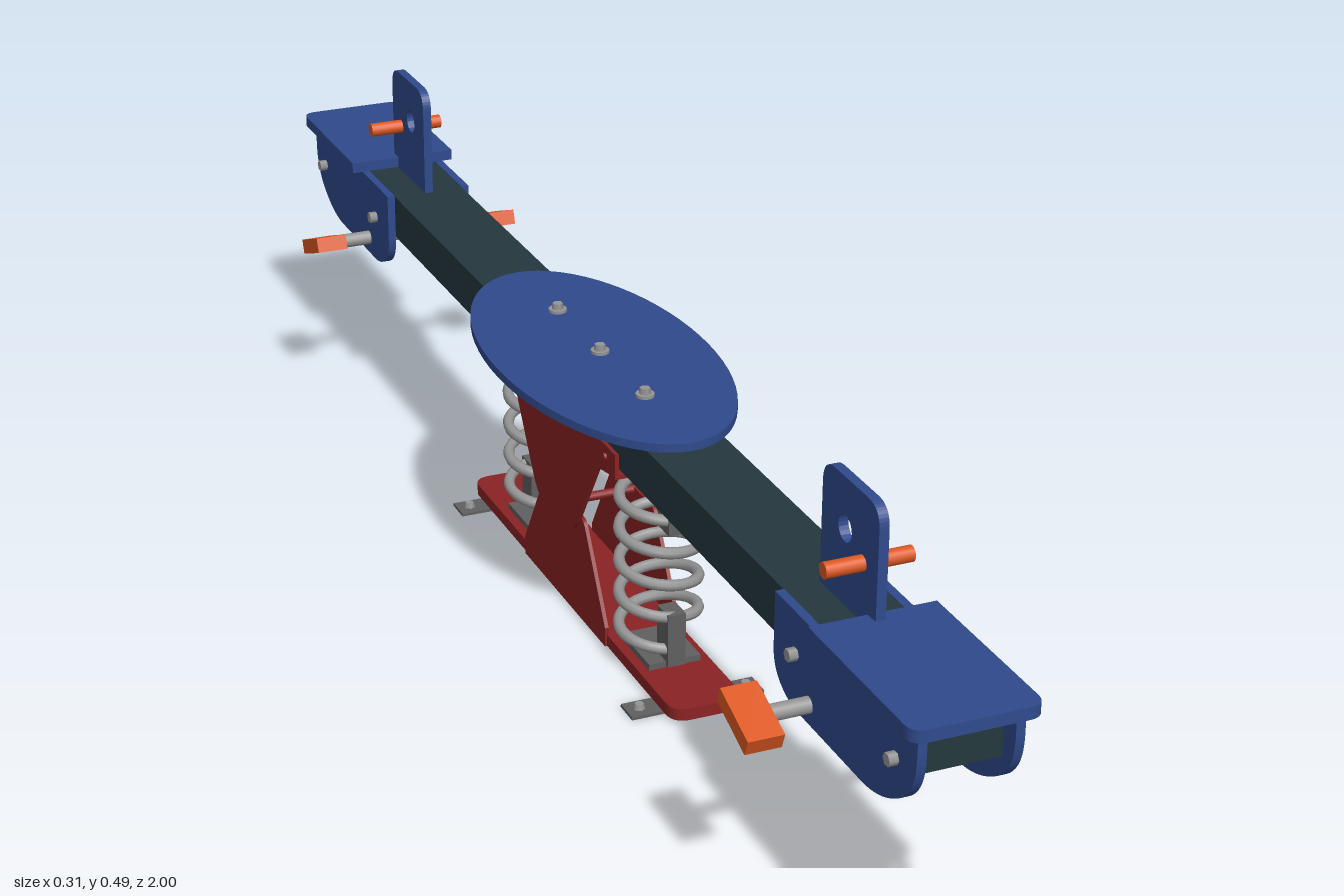
import * as THREE from 'three';

const mat = (name, color, side = THREE.FrontSide) => {
  const m = new THREE.MeshStandardMaterial({ color, side });
  m.name = name;
  return m;
};

// Closed outline with rounded corners; each point is [u, v, radius]
function outline(pts) {
  const s = new THREE.Shape();
  const n = pts.length;
  pts.forEach((p, i) => {
    const P = new THREE.Vector2(p[0], p[1]);
    const toward = (q) => {
      const d = new THREE.Vector2(q[0], q[1]).sub(P);
      return P.clone().addScaledVector(d.normalize(), p[2] || 0);
    };
    const a = toward(pts[(i + n - 1) % n]);
    const b = toward(pts[(i + 1) % n]);
    if (i === 0) s.moveTo(a.x, a.y);
    else s.lineTo(a.x, a.y);
    if (p[2]) s.quadraticCurveTo(P.x, P.y, b.x, b.y);
  });
  s.closePath();
  return s;
}

const slab = (shape, depth) =>
  new THREE.ExtrudeGeometry(shape, { depth, bevelEnabled: false, curveSegments: 10 })
    .translate(0, 0, -depth / 2);
// Upright slab: outline in z and y, thickness along x
const uprightSlab = (shape, depth) => slab(shape, depth).rotateY(-Math.PI / 2);
// Flat slab: outline in x and z, thickness along y
const flatSlab = (shape, depth) => slab(shape, depth).rotateX(Math.PI / 2);

export function createModel() {
  const blue = mat('blue panel', 0x2f4a8c);
  const dark = mat('dark green beam', 0x24383e);
  const red = mat('red steel', 0x8a2224);
  const orange = mat('orange grip', 0xdc5820);
  const steel = mat('light steel', 0x949494);
  const iron = mat('dark iron', 0x606060);

  const root = new THREE.Group();
  root.name = 'springSeesaw';

  const add = (parent, name, geo, material, x = 0, y = 0, z = 0) => {
    const m = new THREE.Mesh(geo, material);
    m.name = name;
    m.position.set(x, y, z);
    parent.add(m);
    return m;
  };
  const box = (w, h, d) => new THREE.BoxGeometry(w, h, d);
  const rodX = (r, len, n = 16) =>
    new THREE.CylinderGeometry(r, r, len, n).rotateZ(Math.PI / 2);

  // Main beam
  add(root, 'beam', box(0.102, 0.062, 1.92), dark, 0, 0.306, 0);

  // Oval centre board with its bolts
  const oval = new THREE.Shape();
  oval.absellipse(0, 0, 0.139, 0.29, 0, Math.PI * 2);
  add(root, 'centreBoard',
    new THREE.ExtrudeGeometry(oval, { depth: 0.011, bevelEnabled: false, curveSegments: 32 })
      .translate(0, 0, -0.0055).rotateX(Math.PI / 2), blue, 0, 0.3425, 0);
  for (const z of [-0.145, 0, 0.145]) {
    add(root, 'boardWasher', new THREE.CylinderGeometry(0.012, 0.012, 0.004, 16), steel, 0, 0.35, z);
    add(root, 'boardBolt', new THREE.CylinderGeometry(0.007, 0.008, 0.009, 6), steel, 0, 0.355, z);
  }

  // Base plate
  const baseShape = outline([
    [-0.048, -0.35, 0.025], [0.048, -0.35, 0.025], [0.048, 0.35, 0.025], [-0.048, 0.35, 0.025],
  ]);
  add(root, 'basePlate', flatSlab(baseShape, 0.016), red, 0, 0.012, 0);

  // Hourglass side plates: upper pair hangs from the beam, lower pair stands on the base
  const upper = outline([
    [-0.2, 0.303], [-0.2, 0.272], [-0.145, 0.262, 0.01], [-0.072, 0.148, 0.008], [-0.055, 0.132, 0.008],
    [0.055, 0.132, 0.008], [0.072, 0.148, 0.008], [0.145, 0.262, 0.01], [0.2, 0.272], [0.2, 0.303],
  ]);
  const lower = outline([
    [-0.14, 0.004], [0.14, 0.004], [0.14, 0.03], [0.068, 0.15, 0.01], [-0.068, 0.15, 0.01], [-0.14, 0.03],
  ]);
  for (const s of [-1, 1]) {
    add(root, 'upperSidePlate', uprightSlab(upper, 0.005), red, s * 0.0605, 0, 0);
    add(root, 'lowerSidePlate', uprightSlab(lower, 0.005), red, s * 0.0485, 0, 0);
    for (const z of [-0.17, 0.17])
      add(root, 'sidePlateRivet', rodX(0.005, 0.004, 8), red, s * 0.0645, 0.288, z);
  }
  add(root, 'beamSaddle', box(0.126, 0.006, 0.4), red, 0, 0.272, 0);
  add(root, 'pivotBar', rodX(0.006, 0.118, 12), red, 0, 0.146, 0);

  // Parts repeated at both ends
  class SpringCurve extends THREE.Curve {
    getPoint(t, out = new THREE.Vector3()) {
      const a = t * Math.PI * 2 * 5 + Math.PI / 2;
      return out.set(0.05 * Math.cos(a), 0.042 + 0.224 * t, 0.05 * Math.sin(a));
    }
  }
  const springGeo = new THREE.TubeGeometry(new SpringCurve(), 160, 0.0075, 8, false);

  const panel = outline([
    [0.65, 0.338], [0.65, 0.245, 0.025], [0.69, 0.219, 0.025], [0.905, 0.219, 0.04],
    [0.985, 0.265, 0.045], [0.985, 0.338],
  ]);
  const seat = outline([
    [-0.077, 0.762], [0.077, 0.762], [0.077, 1, 0.02], [-0.077, 1, 0.02],
  ]);
  const handlePlate = outline([
    [0.646, 0.337], [0.78, 0.337], [0.78, 0.488, 0.028], [0.646, 0.488, 0.028],
  ]);
  const hole = new THREE.Path();
  hole.absarc(0.702, 0.428, 0.016, 0, Math.PI * 2, true);
  handlePlate.holes.push(hole);

  for (const turn of [0, Math.PI]) {
    // Seat with cheeks, handle and foot pegs
    const seatEnd = new THREE.Group();
    seatEnd.name = turn ? 'backSeat' : 'frontSeat';
    seatEnd.rotation.y = turn;
    root.add(seatEnd);
    add(seatEnd, 'seatBoard', flatSlab(seat, 0.015), blue, 0, 0.3455, 0);
    add(seatEnd, 'handlePlate', uprightSlab(handlePlate, 0.012), blue);
    add(seatEnd, 'handleBar', rodX(0.0095, 0.106), orange, 0, 0.407, 0.745);
    add(seatEnd, 'footRod', rodX(0.01, 0.224), steel, 0, 0.243, 0.74);
    for (const s of [-1, 1]) {
      add(seatEnd, 'cheekPanel', uprightSlab(panel, 0.011), blue, s * 0.0565, 0, 0);
      const peg = add(seatEnd, 'footPeg', box(0.044, 0.021, 0.078), orange, s * 0.131, 0.2425, 0.74);
      peg.rotation.x = 0.37;
      for (const z of [0.705, 0.94])
        add(seatEnd, 'cheekBolt', rodX(0.008, 0.012, 6), steel, s * 0.067, 0.288, z);
    }

    // Spring, its clamps and the ground strap
    const springEnd = new THREE.Group();
    springEnd.name = turn ? 'backSpring' : 'frontSpring';
    springEnd.rotation.y = turn;
    root.add(springEnd);
    add(springEnd, 'spring', springGeo, steel, 0, 0, 0.192);
    add(springEnd, 'lowerClampFoot', box(0.07, 0.008, 0.09), iron, 0, 0.024, 0.2);
    add(springEnd, 'lowerClamp', box(0.024, 0.072, 0.034), iron, 0, 0.058, 0.233);
    add(springEnd, 'upperClampFoot', box(0.07, 0.008, 0.09), iron, 0, 0.272, 0.205);
    add(springEnd, 'upperClamp', box(0.024, 0.068, 0.034), iron, 0, 0.239, 0.233);
    add(springEnd, 'groundStrap', box(0.178, 0.004, 0.036), iron, 0, 0.002, 0.3);
    for (const s of [-1, 1])
      add(springEnd, 'groundBolt', new THREE.CylinderGeometry(0.006, 0.008, 0.008, 6), steel, s * 0.072, 0.007, 0.3);
  }
  return root;
}
